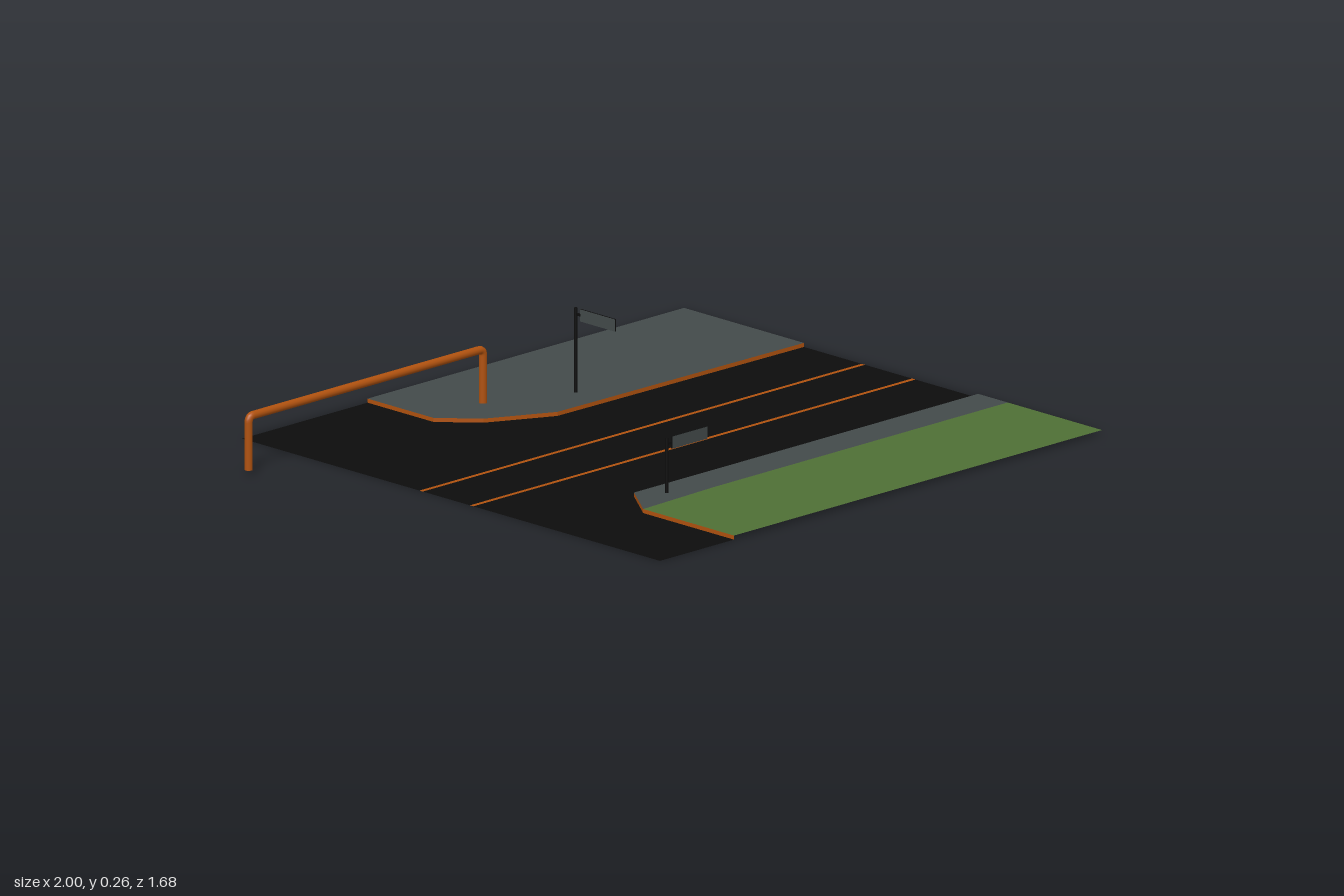
import * as THREE from 'three';

const mat = (name, color) => {
  const m = new THREE.MeshStandardMaterial({ color, side: THREE.DoubleSide });
  m.name = name;
  return m;
};

export function createModel() {
  const root = new THREE.Group();
  root.name = 'streetCorner';
  const asphalt = mat('asphalt black', 0x0d0d0d);
  const paving = mat('paving grey', 0x434a4a);
  const grass = mat('grass green', 0x4f7035);
  const orange = mat('rust orange', 0xb0520f);

  const add = (name, geometry, material, parent = root) => {
    const mesh = new THREE.Mesh(geometry, material);
    mesh.name = name;
    parent.add(mesh);
    return mesh;
  };

  // Flat ground sheet from [x, z] corners at height y
  const sheet = (name, points, y, material) => {
    const shape = new THREE.Shape(points.map(([x, z]) => new THREE.Vector2(x, -z)));
    add(name, new THREE.ShapeGeometry(shape).rotateX(-Math.PI / 2).translate(0, y, 0), material);
  };

  // Upright strip along an [x, z] line
  const wall = (name, points, height, material) => {
    const pos = [], index = [];
    points.slice(1).forEach(([x, z], i) => {
      const [px, pz] = points[i], n = i * 4;
      pos.push(px, 0, pz, x, 0, z, x, height, z, px, height, pz);
      index.push(n, n + 2, n + 1, n, n + 3, n + 2);
    });
    const g = new THREE.BufferGeometry();
    g.setAttribute('position', new THREE.Float32BufferAttribute(pos, 3));
    g.setIndex(index);
    g.computeVertexNormals();
    add(name, g, material);
  };

  const west = -0.76, east = 1, edge = 0.84, curbH = 0.012;
  const backCurb = [[-0.26, -edge], [-0.26, -0.575], [-0.165, -0.47], [0.03, -0.37], [east, -0.358]];
  const frontCurb = [[east, 0.342], [-0.37, 0.342], [-0.465, 0.475], [-0.465, edge]];
  const lawnEdge = [[-0.465, 0.475], [-0.17, 0.463], [east, 0.461]];

  // Road, cut around the pavements and the two painted lines
  const lines = [-0.12, 0.083], half = 0.007;
  const band = (z0, z1) => [[west, z0], [east, z0], [east, z1], [west, z1]];
  sheet('roadBack', [[west, -edge], ...backCurb, [east, lines[0] - half], [west, lines[0] - half]], 0, asphalt);
  sheet('roadMiddle', band(lines[0] + half, lines[1] - half), 0, asphalt);
  sheet('roadFront', [[west, lines[1] + half], [east, lines[1] + half], ...frontCurb, [west, edge]], 0, asphalt);
  lines.forEach((z, i) => sheet('laneLine' + (i + 1), band(z - half, z + half), 0, orange));

  // Raised pavements, lawn and painted curbs
  sheet('backPavement', [...backCurb, [east, -edge]], curbH, paving);
  sheet('frontPavement', [...frontCurb.slice(0, 2), ...lawnEdge], curbH, paving);
  sheet('lawn', [...lawnEdge, [east, edge], [-0.465, edge]], curbH, grass);
  wall('backCurb', backCurb, curbH, orange);
  wall('frontCurb', frontCurb, curbH, orange);

  // Street sign: post, short bracket and a board with dark edges
  const streetSign = (name, x, z, height, turn) => {
    const g = new THREE.Group();
    g.name = name;
    add('post', new THREE.CylinderGeometry(0.005, 0.005, height - curbH, 8)
      .translate(0, (height + curbH) / 2, 0), asphalt, g);
    add('bracket', new THREE.BoxGeometry(0.022, 0.007, 0.005)
      .translate(0.011, height - 0.018, 0), asphalt, g);
    add('board', new THREE.BoxGeometry(0.14, 0.036, 0.005).translate(0.09, height - 0.018, 0),
      [asphalt, asphalt, asphalt, asphalt, paving, paving], g);
    g.position.set(x, 0, z);
    g.rotation.y = turn;
    root.add(g);
  };
  streetSign('frontSign', -0.305, 0.408, 0.174, 0);
  streetSign('backSign', 0.202, -0.47, 0.262, -Math.PI / 2);

  // Bent pipe barrier with tight corners
  const V = (x, y) => new THREE.Vector3(x, y, -0.583);
  const x0 = -0.988, x1 = -0.055, top = 0.17, r = 0.018;
  const path = new THREE.CurvePath();
  path.add(new THREE.LineCurve3(V(x0, 0.012), V(x0, top - r)));
  path.add(new THREE.QuadraticBezierCurve3(V(x0, top - r), V(x0, top), V(x0 + r, top)));
  path.add(new THREE.LineCurve3(V(x0 + r, top), V(x1 - r, top)));
  path.add(new THREE.QuadraticBezierCurve3(V(x1 - r, top), V(x1, top), V(x1, top - r)));
  path.add(new THREE.LineCurve3(V(x1, top - r), V(x1, 0.005)));
  add('pipeBarrier', new THREE.TubeGeometry(path, 240, 0.012, 12), orange);

  return root;
}
